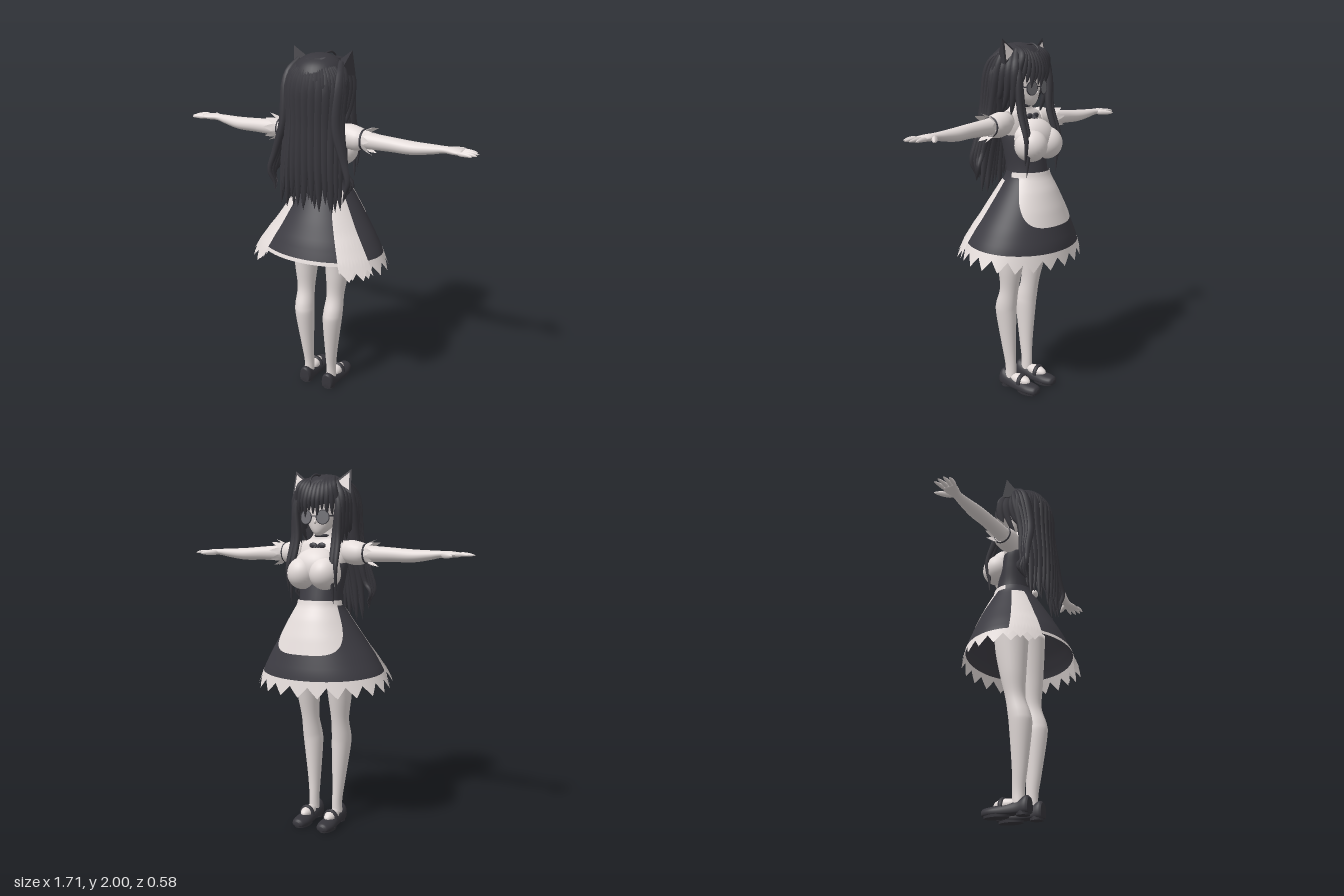
import * as THREE from 'three';
import { mergeGeometries, mergeVertices } from 'three/addons/utils/BufferGeometryUtils.js';
import { ConvexGeometry } from 'three/addons/geometries/ConvexGeometry.js';

const V = (x, y, z) => new THREE.Vector3(x, y, z);
const { lerp, clamp } = THREE.MathUtils;

function paint(name, color, side = THREE.FrontSide) {
  const m = new THREE.MeshStandardMaterial({ color, side });
  m.name = name;
  return m;
}

// Smooth surface from a function of (u around, v along)
function grid(nu, nv, fn) {
  const pos = [], idx = [];
  for (let j = 0; j <= nv; j++)
    for (let i = 0; i <= nu; i++) pos.push(...fn(i / nu, j / nv));
  for (let j = 0; j < nv; j++)
    for (let i = 0; i < nu; i++) {
      const a = j * (nu + 1) + i, c = a + nu + 1;
      idx.push(a, a + 1, c + 1, a, c + 1, c);
    }
  let g = new THREE.BufferGeometry();
  g.setAttribute('position', new THREE.Float32BufferAttribute(pos, 3));
  g.setIndex(idx);
  g = mergeVertices(g, 1e-5);
  g.computeVertexNormals();
  return g;
}

// Elliptic sections [t, a, b, ra, rb] along an axis; a, b follow it in cyclic order (y: z, x)
function loft(axis, rows, n = 24, floor = -1) {
  const centre = new THREE.CatmullRomCurve3(rows.map(r => V(r[0], r[1], r[2])), false, 'catmullrom');
  const size = new THREE.CatmullRomCurve3(rows.map(r => V(r[3], r[4], 0)), false, 'catmullrom');
  const m = rows.length * 5;
  return grid(n, m + 2, (u, v) => {
    const j = Math.round(v * (m + 2)), k = clamp((j - 1) / m, 0, 1);
    const c = centre.getPoint(k), s = size.getPoint(k), w = u * Math.PI * 2;
    const open = j === 0 || j === m + 2 ? 0 : 1;
    const p = c.y + Math.max(s.x, 0.001) * Math.cos(w) * open;
    const q = c.z + Math.max(s.y, 0.001) * Math.sin(w) * open;
    if (axis === 'x') return [c.x, p, q];
    if (axis === 'y') return [q, c.x, p];
    return [p, Math.max(q, floor), c.x];
  });
}

// Tapered lock along a curve
function strand(points, r, seg = 22, sides = 7) {
  const curve = new THREE.CatmullRomCurve3(points.map(p => V(...p)));
  const g = new THREE.TubeGeometry(curve, seg, r, sides);
  const pos = g.attributes.position, p = V(0, 0, 0);
  for (let i = 0; i < pos.count; i++) {
    const u = Math.floor(i / (sides + 1)) / seg, c = curve.getPointAt(u);
    const f = Math.min(1, 0.55 + u * 2) * Math.pow(Math.max(0, 1 - u ** 3), 0.7);
    p.fromBufferAttribute(pos, i).sub(c).multiplyScalar(f).add(c);
    pos.setXYZ(i, p.x, p.y, p.z);
  }
  g.computeVertexNormals();
  return g;
}

const ball = (x, y, z, rx, ry, rz) => new THREE.SphereGeometry(1, 28, 20).scale(rx, ry, rz).translate(x, y, z);

function mirrored(geo) {
  const g = geo.index ? geo.clone() : mergeVertices(geo);
  g.scale(-1, 1, 1);
  const ix = g.index.array;
  for (let i = 0; i < ix.length; i += 3) [ix[i], ix[i + 1]] = [ix[i + 1], ix[i]];
  g.computeVertexNormals();
  return g;
}

// Skirt profile rows: height, half width, front z, back z
const BELL = [[0.8, 0.395, -0.3, 0.3], [0.92, 0.345, -0.283, 0.27], [1, 0.3, -0.262, 0.235],
  [1.1, 0.235, -0.235, 0.18], [1.2, 0.172, -0.2, 0.12], [1.27, 0.13, -0.165, 0.075], [1.31, 0.122, -0.155, 0.066]];
function bell(a, y, grow = 1) {
  let i = 0;
  while (i < BELL.length - 2 && y > BELL[i + 1][0]) i++;
  const A = BELL[i], B = BELL[i + 1], t = (y - A[0]) / (B[0] - A[0]);
  const [rx, f, b] = [1, 2, 3].map(k => lerp(A[k], B[k], t));
  return [rx * Math.sin(a) * grow, y, (f + b) / 2 + (b - f) / 2 * Math.cos(a) * grow];
}
const panel = (a0, a1, low, high, grow = () => 1, nu = 96, nv = 18) => grid(nu, nv, (u, v) => {
  const a = lerp(a0, a1, u), y = lerp(low(a), high(a), v);
  return bell(a, y, grow(y));
});

export function createModel() {
  const model = new THREE.Group();
  const light = paint('pale skin', 0xe3dbd9);
  const white = paint('white cloth', 0xe5dddb, THREE.DoubleSide);
  const dark = paint('dark cloth', 0x3d3c43, THREE.DoubleSide);
  const hairMat = paint('dark hair', 0x38373d);
  const shoeMat = paint('shoe leather', 0x37363c);
  const lensMat = paint('grey lens', 0x747378, THREE.DoubleSide);
  const add = (name, geo, mat) => {
    const m = new THREE.Mesh(geo, mat);
    m.name = name;
    model.add(m);
  };
  const pair = (name, geo, mat) => {
    add(name + 'Left', geo, mat);
    add(name + 'Right', mirrored(geo), mat);
  };

  // Legs and feet
  pair('leg', loft('y', [[0.05, 0.02, 0.075, 0.035, 0.03], [0.13, 0.02, 0.075, 0.034, 0.028], [0.25, 0.03, 0.08, 0.043, 0.036],
    [0.45, 0.04, 0.09, 0.062, 0.053], [0.52, 0.035, 0.094, 0.063, 0.054], [0.62, 0.012, 0.096, 0.055, 0.05],
    [0.75, 0, 0.1, 0.073, 0.064], [0.9, -0.01, 0.1, 0.093, 0.078], [1.05, -0.01, 0.1, 0.1, 0.09]]), light);
  pair('instep', ball(0.076, 0.062, -0.05, 0.034, 0.032, 0.07), light);
  pair('shoe', loft('z', [[-0.185, 0.078, 0.025, 0.015, 0.012], [-0.17, 0.078, 0.025, 0.036, 0.028], [-0.12, 0.078, 0.025, 0.048, 0.034],
    [-0.05, 0.077, 0.025, 0.043, 0.042], [0.02, 0.075, 0.03, 0.038, 0.05], [0.065, 0.075, 0.04, 0.038, 0.06],
    [0.085, 0.075, 0.04, 0.03, 0.05]], 24, 0.012), shoeMat);
  pair('heel', new THREE.CylinderGeometry(0.037, 0.035, 0.025, 20).translate(0.075, 0.0125, 0.046), shoeMat);
  pair('sole', new THREE.CylinderGeometry(0.045, 0.043, 0.014, 24).scale(1, 1, 1.6).translate(0.078, 0.007, -0.105), shoeMat);
  pair('shoeStrap', new THREE.TorusGeometry(0.038, 0.009, 8, 20, Math.PI).scale(1, 1.15, 1.5).translate(0.077, 0.048, -0.065), shoeMat);

  // Skirt, lace hem, apron and bow tails (angle 0 is the back)
  const PI = Math.PI;
  const hem = a => 0.895 + 0.022 * Math.cos(a);
  const top = () => 1.3;
  const tooth = a => Math.abs(((a * 11 / PI) % 1 + 1) % 1 - 0.5) * 2;
  const lace = a => hem(a) - 0.012 - (Math.abs(a) < 0.68 || Math.abs(a) > 2 * PI - 0.68 ? 0 : 0.012 + 0.058 * tooth(a));
  add('skirt', panel(0, 2 * PI, hem, top), dark);
  add('laceHem', panel(0, 2 * PI, lace, a => hem(a) + 0.008, () => 1.006, 264, 2), white);
  const apronLow = a => Math.min(1.27, 1.015 + 0.25 * (Math.abs(a - PI) / 1.22) ** 4);
  add('apron', panel(PI - 1.65, PI + 1.65, apronLow, () => 1.298, () => 1.015), white);
  pair('bowTail', panel(0.64, 1.18, a => 0.83 + 0.05 * tooth(a * 1.3), () => 1.25,
    y => 1.015 + 0.07 * clamp((1.05 - y) / 0.2, 0, 1)), white);
  add('bowKnot', ball(0, 1.27, 0.085, 0.025, 0.022, 0.018), white);

  // Torso
  add('bodice', loft('y', [[1.26, -0.045, 0, 0.108, 0.122], [1.33, -0.035, 0, 0.105, 0.122], [1.42, -0.02, 0, 0.1, 0.136],
    [1.49, -0.005, 0, 0.088, 0.145], [1.53, 0, 0, 0.075, 0.14]], 32), dark);
  add('shoulders', loft('y', [[1.49, -0.01, 0, 0.08, 0.14], [1.55, 0, 0, 0.075, 0.165], [1.6, 0.005, 0, 0.06, 0.15],
    [1.635, 0.005, 0, 0.045, 0.08], [1.7, -0.005, 0, 0.04, 0.042]], 32), light);
  add('chest', ball(0, 1.475, -0.085, 0.135, 0.105, 0.095), white);
  pair('bust', ball(0.068, 1.443, -0.118, 0.085, 0.088, 0.092), white);
  add('choker', new THREE.TorusGeometry(0.046, 0.008, 8, 28).rotateX(PI / 2).translate(0, 1.645, 0), dark);
  pair('neckBow', ball(0.026, 1.592, -0.078, 0.024, 0.015, 0.01).rotateZ(0), dark);
  pair('neckBowTail', strand([[0.004, 1.595, -0.08], [0.015, 1.565, -0.105], [0.03, 1.54, -0.148]], 0.008), dark);

  // Arms, hands and puffed sleeves
  pair('arm', loft('x', [[0.12, 1.565, 0, 0.055, 0.05], [0.25, 1.55, 0.01, 0.045, 0.044], [0.4, 1.545, 0.008, 0.038, 0.04],
    [0.52, 1.54, 0, 0.034, 0.042], [0.62, 1.545, -0.012, 0.025, 0.032], [0.68, 1.55, -0.018, 0.018, 0.026],
    [0.73, 1.55, -0.018, 0.017, 0.038], [0.775, 1.549, -0.013, 0.012, 0.04]]), light);
  const fingers = [[-0.043, -0.058, 0.835], [-0.022, -0.028, 0.85], [0, 0.005, 0.85], [0.018, 0.03, 0.832]].map(([z0, z1, x]) =>
    strand([[0.755, 1.549, z0], [0.8, 1.55, lerp(z0, z1, 0.5)], [x + 0.003, 1.546, z1]], 0.0115, 10));
  fingers.push(strand([[0.69, 1.548, -0.03], [0.725, 1.545, -0.065], [0.768, 1.543, -0.108]], 0.016, 10));
  pair('fingers', mergeGeometries(fingers), light);
  pair('sleeve', loft('x', [[0.12, 1.56, 0.003, 0.055, 0.05], [0.17, 1.555, 0.004, 0.066, 0.062], [0.22, 1.55, 0.006, 0.062, 0.062],
    [0.255, 1.55, 0.008, 0.05, 0.05]]), white);
  pair('sleeveBand', new THREE.TorusGeometry(0.049, 0.006, 8, 28).rotateY(PI / 2).translate(0.25, 1.55, 0.008), dark);
  pair('sleeveRuffle', grid(72, 4, (u, v) => {
    const w = u * 2 * PI, zig = Math.abs((u * 9) % 1 - 0.5) * 2, r = 0.047 + v * (0.012 + 0.016 * zig);
    return [0.25 + v * (0.02 + 0.045 * zig), 1.55 + r * Math.cos(w), 0.008 + r * Math.sin(w)];
  }), white);

  // Head and face
  add('head', loft('y', [[1.645, -0.066, 0, 0.012, 0.012], [1.665, -0.055, 0, 0.038, 0.038], [1.7, -0.033, 0, 0.068, 0.068],
    [1.76, -0.01, 0, 0.095, 0.094], [1.85, 0.005, 0, 0.11, 0.105], [1.94, 0.01, 0, 0.05, 0.05]], 32), light);
  add('nose', ball(0, 1.717, -0.102, 0.007, 0.011, 0.012), light);
  add('mouth', ball(0, 1.686, -0.089, 0.014, 0.0025, 0.004), dark);
  pair('lens', new THREE.CylinderGeometry(0.036, 0.036, 0.004, 28).rotateX(PI / 2).rotateY(-0.2).translate(0.05, 1.742, -0.112), lensMat);
  pair('lensRim', new THREE.TorusGeometry(0.036, 0.003, 6, 32).rotateY(-0.2).translate(0.05, 1.742, -0.112), dark);
  pair('glassesTemple', strand([[0.084, 1.748, -0.105], [0.1, 1.752, -0.04], [0.1, 1.75, 0.04]], 0.005), dark);
  add('glassesBridge', new THREE.BoxGeometry(0.03, 0.005, 0.005).translate(0, 1.748, -0.116), dark);

  // Cat ears with pale inner faces
  const ear = [V(0.072, 1.925, -0.025), V(0.178, 1.865, -0.035), V(0.17, 1.995, -0.01), V(0.13, 1.88, 0.06)];
  pair('ear', new ConvexGeometry(ear), hairMat);
  const mid = V(0, 0, 0).add(ear[0]).add(ear[1]).add(ear[2]).divideScalar(3);
  const inner = ear.slice(0, 3).map(p => p.clone().lerp(mid, 0.3).add(V(0, 0, -0.004)));
  const plate = new THREE.BufferGeometry().setFromPoints([inner[0], inner[2], inner[1]]);
  plate.setIndex([0, 1, 2]);
  plate.computeVertexNormals();
  pair('innerEar', plate, white);

  // Hair: cap, long back locks, fringe, side locks and curled tails
  add('hairCap', loft('y', [[1.74, 0.085, 0, 0.08, 0.115], [1.8, 0.06, 0, 0.11, 0.135], [1.87, 0.03, 0, 0.142, 0.145],
    [1.93, 0.025, 0, 0.115, 0.115], [1.965, 0.025, 0, 0.06, 0.06], [1.975, 0.025, 0, 0.01, 0.01]], 32), hairMat);
  const locks = [];
  for (let layer = 0; layer < 2; layer++)
    for (let i = -6; i <= 6; i++) {
      const a = (i + layer * 0.5) / 6 * 1.4, s = Math.sin(a), c = Math.cos(a), k = 1 - layer * 0.2;
      const end = 1.2 + 0.035 * Math.sin(i * 2.7 + layer);
      locks.push(strand([[0.05 * s, 1.95, 0.04 + 0.05 * c], [0.14 * s, 1.86, 0.04 + 0.115 * c], [0.147 * s * k, 1.62, 0.065 + 0.105 * c * k],
        [0.165 * s * k, 1.4, 0.105 + 0.08 * c * k], [0.185 * s * k, end, 0.12 + 0.07 * c * k]], 0.032));
    }
  add('backHair', mergeGeometries(locks), hairMat);
  const fringe = [];
  for (let i = -5; i <= 5; i++)
    fringe.push(strand([[0.012 * i, 1.955, 0], [0.02 * i, 1.91, -0.085], [0.024 * i, 1.84, -0.122 + 0.0015 * i * i],
      [0.025 * i + 0.006, 1.755 + 0.02 * Math.sin(i * 2.3), -0.118 + 0.002 * i * i]], 0.02));
  add('fringe', mergeGeometries(fringe), hairMat);
  const side = [0, 1, 2].map(i => strand([[0.09, 1.94, -0.04 + i * 0.03], [0.137, 1.84, -0.07 + i * 0.04],
    [0.137, 1.72, -0.06 + i * 0.045], [0.125, 1.6 + i * 0.02, -0.03 + i * 0.055]], 0.025));
  side.push(...[0, 1].map(i => strand([[0.09, 1.93, -0.05], [0.128, 1.82, -0.085], [0.115 + i * 0.02, 1.63, -0.1],
    [0.12 + i * 0.025, 1.47, -0.145 - i * 0.005], [0.13 + i * 0.015, 1.28 + i * 0.06, -0.14]], 0.02)));
  pair('sideLocks', mergeGeometries(side), hairMat);
  const tails = [0, 1, 2, 3].map(i => strand([[0.12, 1.935, 0.02], [0.148, 1.87, 0.03 + i * 0.02], [0.155, 1.62, 0.085 + i * 0.018],
    [0.185 + i * 0.006, 1.46, 0.1 + i * 0.015], [0.205 + i * 0.01, 1.38 - i * 0.01, 0.11 + i * 0.015],
    [0.238 - i * 0.008, 1.33 - i * 0.015, 0.1 + i * 0.015], [0.205, 1.27 - i * 0.012, 0.12 + i * 0.01]], 0.026, 32));
  pair('curledTail', mergeGeometries(tails), hairMat);
  add('strayCurl', strand([[0, 1.96, -0.02], [0.01, 1.965, -0.09], [0.015, 1.94, -0.125], [0.012, 1.9, -0.13]], 0.006), hairMat);
  return model;
}
